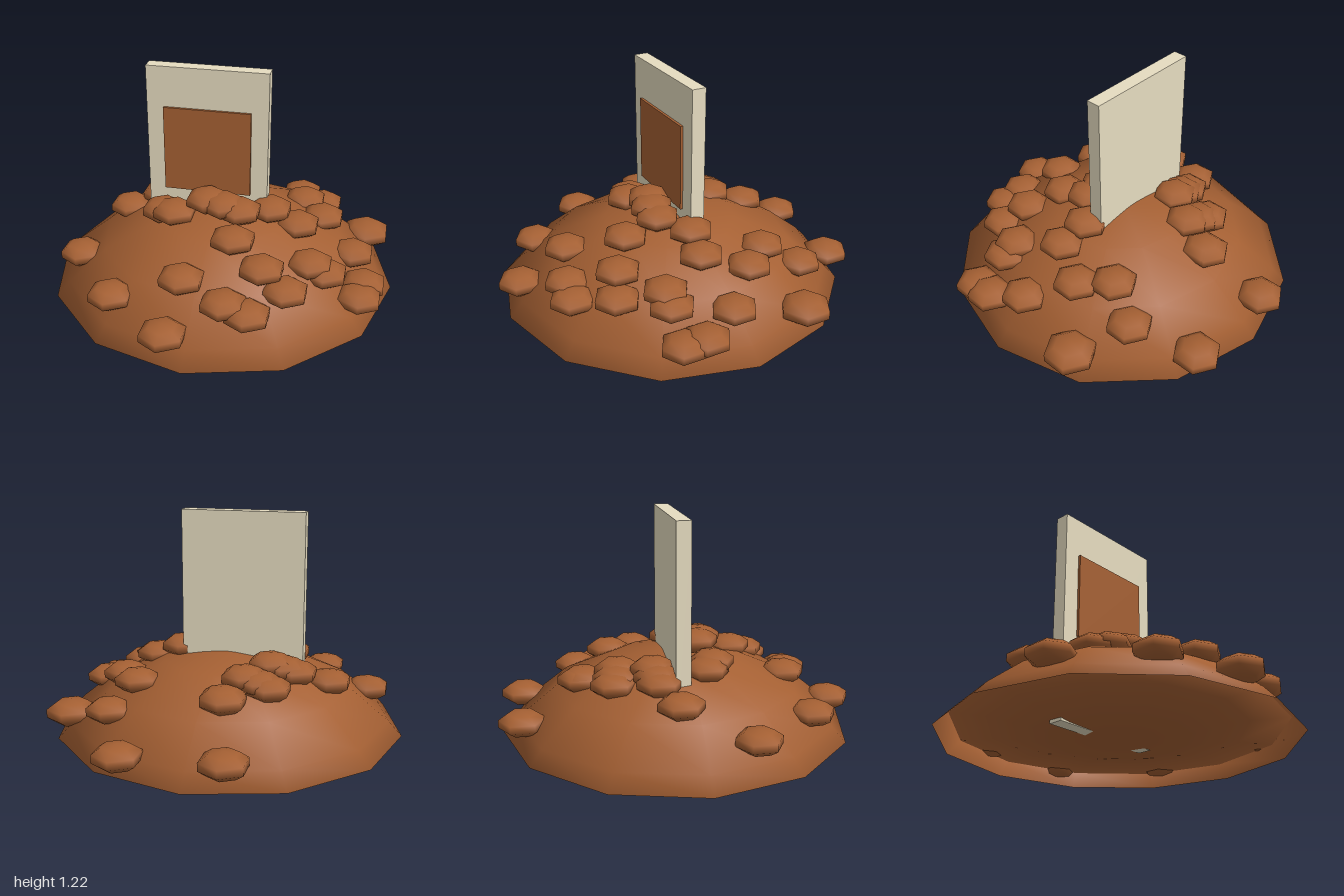
import * as THREE from 'three';

// Heights of the mound's rings: crown to rim, then the shallow underside back to its centre
const RING_HEIGHTS = [0.455, 0.39, 0.25, 0.08, 0, 0.072, 0.07, 0.02, 0.005];

// Clod positions on the mound as [x, z, optional size]
const CLODS = [
  [-0.185, -0.87, 1.04], [0.355, -0.857, 1.04], [-0.095, -0.535], [-0.1, -0.55], [0.52, -0.535],
  [0.805, -0.385, 1.12], [0.43, -0.345], [-0.3, -0.39], [-0.24, -0.37], [-0.165, -0.355],
  [0.555, -0.185], [-0.575, -0.08], [-0.4, -0.16], [-0.34, -0.165], [-0.27, -0.175], [0.745, 0.02],
  [0.435, 0.04], [0.275, 0.015], [-0.32, 0.105], [-0.245, 0.15], [-0.065, 0.1],
  [0.03, 0.13], [0.12, 0.14], [0.825, 0.22], [0.81, 0.34], [-0.76, 0.275],
  [0.125, 0.335], [0.54, 0.305], [0.62, 0.31], [0.305, 0.465], [0.44, 0.53],
  [-0.46, 0.655], [-0.09, 0.6], [0.15, 0.69], [0.275, 0.71], [-0.12, 0.865],
];

// Height of a clod's centre at a given radius: gentle near the crown, steeper near the rim
const clodHeight = (r) => Math.min(0.545 - 0.4 * r, 0.66 - 0.6 * r);

function addMesh(parent, name, geometry, material, x = 0, y = 0, z = 0) {
  const mesh = new THREE.Mesh(geometry, material);
  mesh.name = name;
  mesh.position.set(x, y, z);
  parent.add(mesh);
  return mesh;
}

// Twelve-sided sphere whose rings are flattened into a dome with a folded-up underside
function moundGeometry() {
  const geometry = new THREE.SphereGeometry(0.975, 12, 8);
  const position = geometry.attributes.position;
  for (let i = 0; i < position.count; i++) position.setY(i, RING_HEIGHTS[Math.floor(i / 13)]);
  return geometry;
}

export function createModel() {
  const soil = new THREE.MeshStandardMaterial({ color: 0xa56033, side: THREE.DoubleSide });
  soil.name = 'soil brown';
  const stone = new THREE.MeshStandardMaterial({ color: 0xe6dcc0 });
  stone.name = 'pale stone';

  const model = new THREE.Group();
  model.name = 'moundWithSlab';

  addMesh(model, 'mound', moundGeometry(), soil);

  // Upright slab sunk through the crown, with a square panel on its front
  addMesh(model, 'slab', new THREE.BoxGeometry(0.68, 1.21, 0.08), stone, -0.09, 0.618, -0.04);
  addMesh(model, 'slabPanel', new THREE.BoxGeometry(0.49, 0.49, 0.015), soil, -0.09, 0.748, 0.0075);

  // Squashed six-sided clods scattered over the mound
  const clods = new THREE.Group();
  clods.name = 'clods';
  model.add(clods);
  const clodGeometry = new THREE.SphereGeometry(0.13, 6, 5);
  clodGeometry.rotateY(Math.PI / 2).scale(1, 0.5, 1);
  for (const [x, z, size = 1] of CLODS) {
    const clod = addMesh(clods, 'clod', clodGeometry, soil, x, clodHeight(Math.hypot(x, z)), z);
    clod.scale.setScalar(size);
  }
  return model;
}
